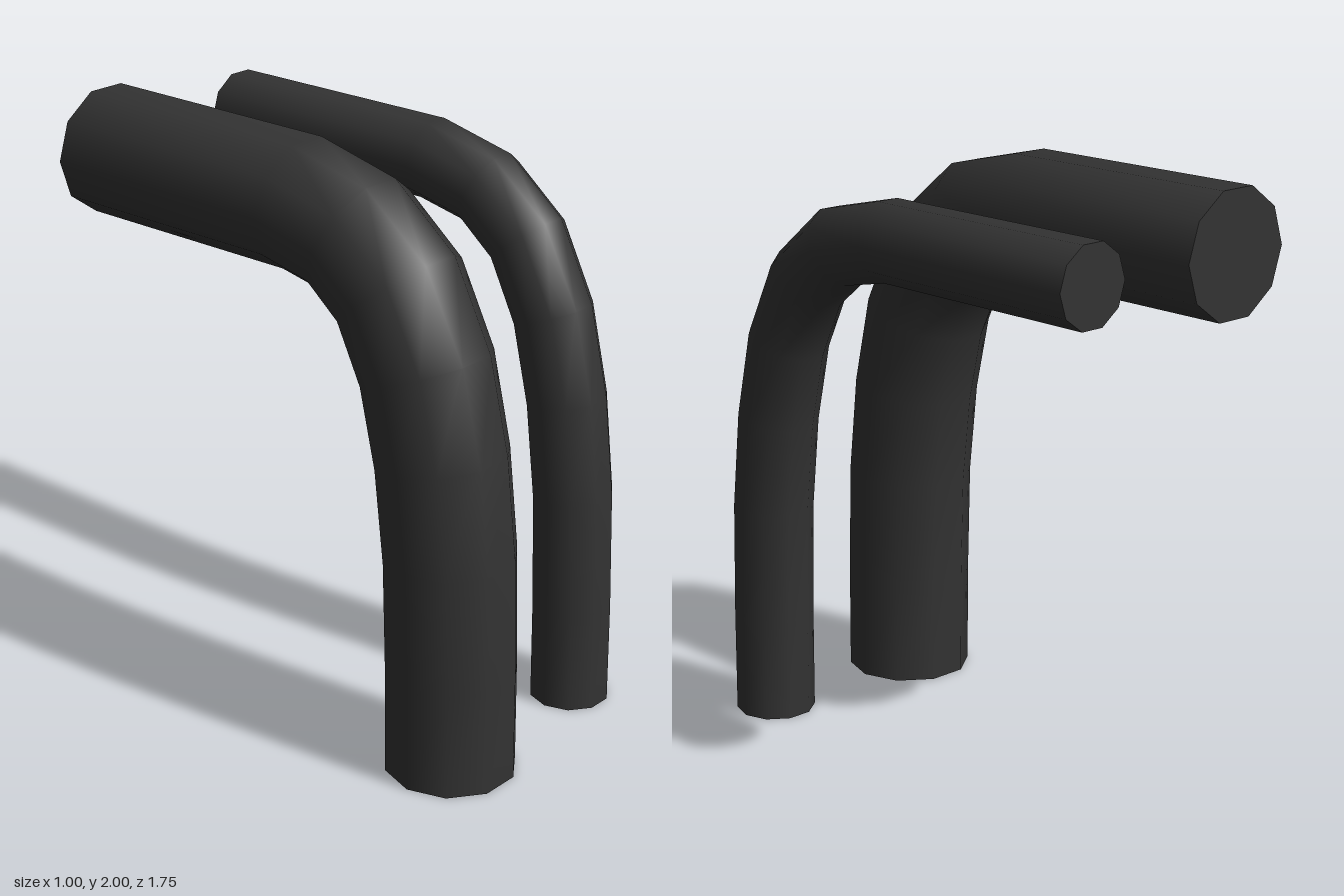
import * as THREE from 'three';
import { toCreasedNormals } from 'three/addons/utils/BufferGeometryUtils.js';

// Centre line shared by both pipes, as [z, y]
const PATH = [
  [0.665, 0], [0.662, 0.36], [0.65, 0.755], [0.612, 1.085], [0.545, 1.37],
  [0.43, 1.6], [0.26, 1.738], [0.02, 1.791], [-0.874, 1.791],
];
const SIDES = 10;

// Sweep a ten-sided ring along the centre line and close both ends
function pipeGeometry(radius) {
  const pts = PATH.map(([z, y]) => new THREE.Vector3(0, y, z));
  const last = pts.length - 1;
  const dir = (i) => pts[i + 1].clone().sub(pts[i]).normalize();
  const positions = [];
  const index = [];

  pts.forEach((p, i) => {
    const t = new THREE.Vector3(0, 1, 0);
    if (i === last) t.set(0, 0, -1);
    else if (i > 0) t.copy(dir(i - 1)).add(dir(i)).normalize();
    for (let j = 0; j < SIDES; j++) {
      const a = (j / SIDES) * Math.PI * 2;
      const s = -Math.sin(a) * radius;
      positions.push(Math.cos(a) * radius, p.y - t.z * s, p.z + t.y * s);
    }
  });

  // Walls
  for (let i = 0; i < last; i++) {
    for (let j = 0; j < SIDES; j++) {
      const k = (j + 1) % SIDES;
      const a = i * SIDES + j, b = i * SIDES + k;
      index.push(a, b, b + SIDES, a, b + SIDES, a + SIDES);
    }
  }
  // End caps
  const end = last * SIDES;
  for (let j = 1; j < SIDES - 1; j++) {
    index.push(0, j + 1, j, end, end + j, end + j + 1);
  }

  const geo = new THREE.BufferGeometry();
  geo.setAttribute('position', new THREE.Float32BufferAttribute(positions, 3));
  geo.setIndex(index);
  return toCreasedNormals(geo, Math.PI / 3);
}

export function createModel() {
  const group = new THREE.Group();
  group.name = 'bentPipes';
  const material = new THREE.MeshStandardMaterial({ color: 0x333333 });

  for (const [name, x, radius] of [['thickPipe', -0.28, 0.22], ['thinPipe', 0.361, 0.138]]) {
    const pipe = new THREE.Mesh(pipeGeometry(radius), material);
    pipe.name = name;
    pipe.position.x = x;
    group.add(pipe);
  }
  return group;
}
